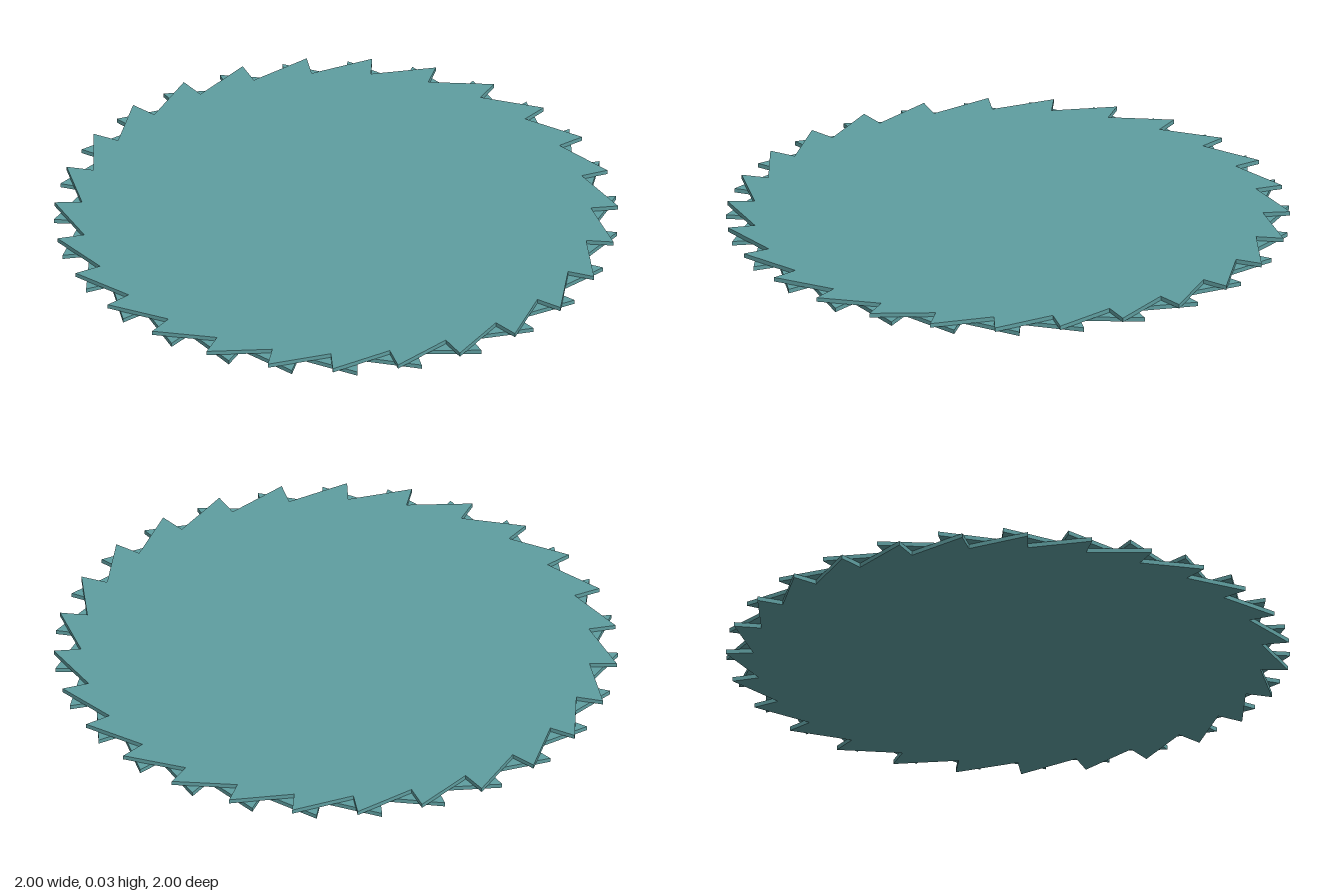
import * as THREE from 'three';

const TEETH = 27, TIP = 1.0, ROOT = 0.903, LAYER = 0.0155;

// Saw-toothed outline: each tooth rises gently to its tip, then drops sharply.
// dir = 1 leans clockwise seen from above, -1 is its mirror image.
function sawShape(dir) {
  const points = [];
  const polar = (deg, r) => {
    const a = THREE.MathUtils.degToRad(deg) * dir;
    points.push(new THREE.Vector2(Math.sin(a) * r, Math.cos(a) * r));
  };
  for (let i = 0; i < TEETH; i++) {
    const tip = (i * 360) / TEETH + 2.5;
    polar(tip, TIP);
    polar(tip + 0.5, ROOT);
  }
  return new THREE.Shape(points);
}

export function createModel() {
  const teal = new THREE.MeshStandardMaterial({ color: 0x5f9ea0 });
  teal.name = 'teal';
  const group = new THREE.Group();
  group.name = 'toothedDisc';

  // Two thin discs stacked, with teeth leaning opposite ways
  const layers = [['lowerDisc', -1, 0], ['upperDisc', 1, LAYER]];
  for (const [name, dir, y] of layers) {
    const geometry = new THREE.ExtrudeGeometry(sawShape(dir), { depth: LAYER, bevelEnabled: false });
    geometry.rotateX(-Math.PI / 2);
    const disc = new THREE.Mesh(geometry, teal);
    disc.name = name;
    disc.position.y = y;
    group.add(disc);
  }
  return group;
}
